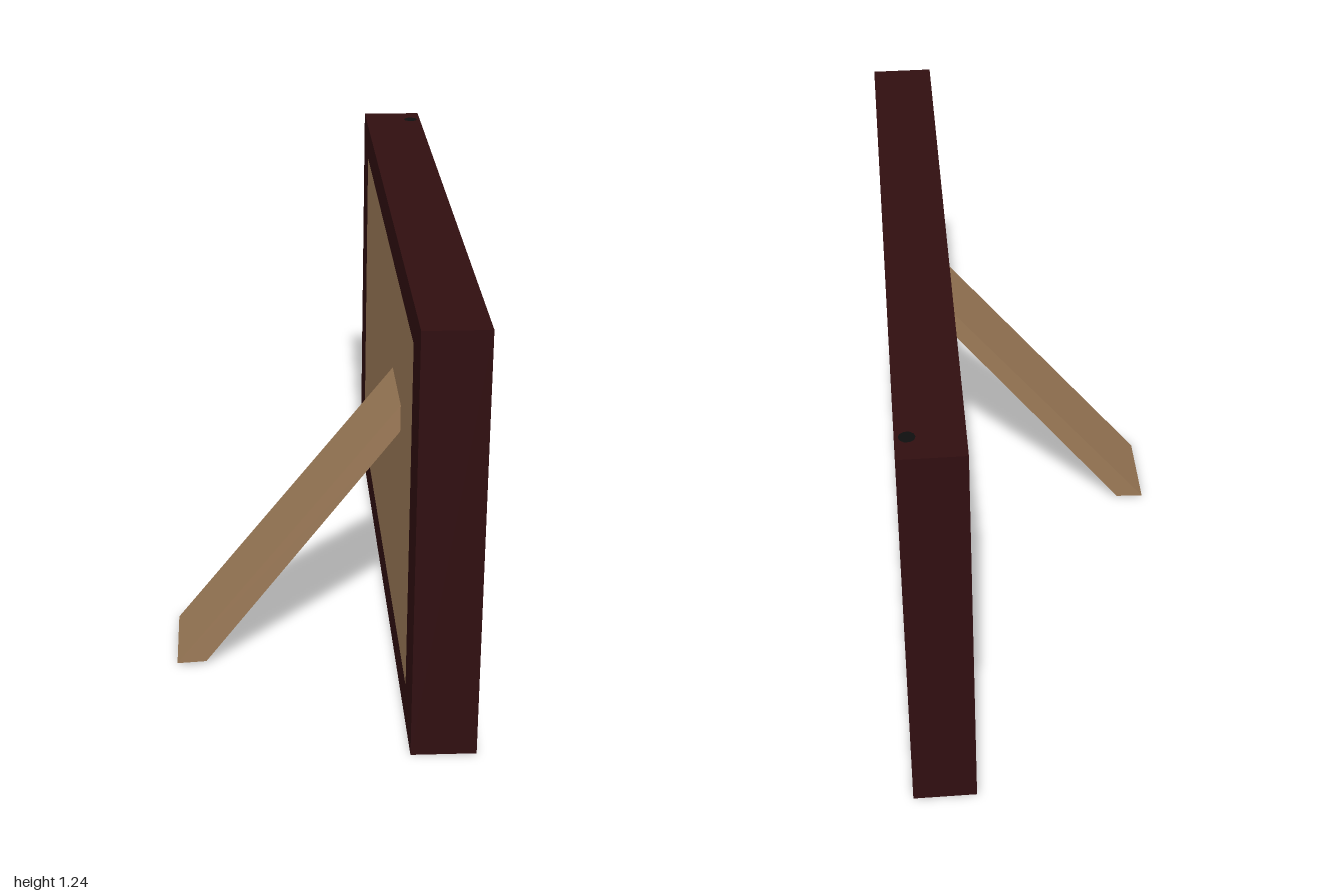
import * as THREE from 'three';

// Main dimensions: an open-fronted tray frame that faces +x
const BACK = 0.23, FRONT = 0.41, TOP = 1.235, HALF = 1;
const HOLE = { z: 0.825, y0: 0.11, y1: 1.13 };

const material = (name, color) => {
  const m = new THREE.MeshStandardMaterial({ color, side: THREE.DoubleSide });
  m.name = name;
  return m;
};

export function createModel() {
  const model = new THREE.Group();
  model.name = 'standingFrame';
  const frameRed = material('darkRedFrame', 0x300e10);
  const tan = material('tanBoard', 0x9c7a57);
  const black = material('blackPanel', 0x0e0e0e);

  const add = (name, geometry, mat, x = 0, y = 0, z = 0) => {
    const mesh = new THREE.Mesh(geometry, mat);
    mesh.name = name;
    mesh.position.set(x, y, z);
    model.add(mesh);
    return mesh;
  };
  // Flat sheet facing +x
  const sheet = (name, depth, height, mat, x, y, z = 0) =>
    add(name, new THREE.PlaneGeometry(depth, height).rotateY(Math.PI / 2), mat, x, y, z);

  // Back border: a flat ring drawn in z,y and turned to face +x
  const ring = new THREE.Shape([[-HALF, 0], [HALF, 0], [HALF, TOP], [-HALF, TOP]]
    .map(p => new THREE.Vector2(...p)));
  ring.holes.push(new THREE.Path([[-HOLE.z, HOLE.y0], [-HOLE.z, HOLE.y1], [HOLE.z, HOLE.y1], [HOLE.z, HOLE.y0]]
    .map(p => new THREE.Vector2(...p))));
  add('backBorder', new THREE.ShapeGeometry(ring).rotateY(Math.PI / 2), frameRed, BACK);

  // Thin outer walls, open towards the front
  const depth = FRONT - BACK, midX = (FRONT + BACK) / 2;
  for (const side of [-1, 1])
    add(side > 0 ? 'leftWall' : 'rightWall', new THREE.PlaneGeometry(depth, TOP).rotateY(side > 0 ? 0 : Math.PI),
      frameRed, midX, TOP / 2, side * HALF);
  for (const up of [0, 1])
    add(up ? 'topWall' : 'bottomWall', new THREE.PlaneGeometry(depth, 2 * HALF).rotateX(up ? -Math.PI / 2 : Math.PI / 2),
      frameRed, midX, up * TOP);

  // Backing board in the opening and the dark panel standing before it
  sheet('backingBoard', 2 * HOLE.z, HOLE.y1 - HOLE.y0, tan, BACK, (HOLE.y0 + HOLE.y1) / 2);
  sheet('darkPanel', 1.655, 0.89, black, 0.33, 0.62);

  // Slanted prop leg
  const legSide = new THREE.Shape([[-0.41, 0.005], [-0.325, 0.01], [BACK, 0.74], [BACK, 0.82]]
    .map(p => new THREE.Vector2(...p)));
  add('propLeg', new THREE.ExtrudeGeometry(legSide, { depth: 0.27, bevelEnabled: false }), tan, 0, 0, 0.243);

  // Dark worn patches on the floor, the border and the top
  const patch = new THREE.Shape([[BACK, -0.16], [BACK, -0.24], [FRONT, -0.2], [FRONT - 0.03, -0.12]]
    .map(p => new THREE.Vector2(...p)));
  for (const y of [-0.001, 0.002])
    add('floorPatch', new THREE.ShapeGeometry(patch).rotateX(Math.PI / 2), black, 0, y);
  for (const [z, w, h] of [[-0.5, 0.06, 0.01], [-0.65, 0.055, 0.012], [-0.83, 0.035, 0.004]])
    add('borderPatch', new THREE.CircleGeometry(1, 12).scale(w, h, 1).rotateY(Math.PI / 2),
      black, BACK + 0.003, 1.183, z);
  add('topPatch', new THREE.CircleGeometry(0.022, 10).rotateX(-Math.PI / 2), black, 0.378, TOP + 0.002, -0.915);

  return model;
}
